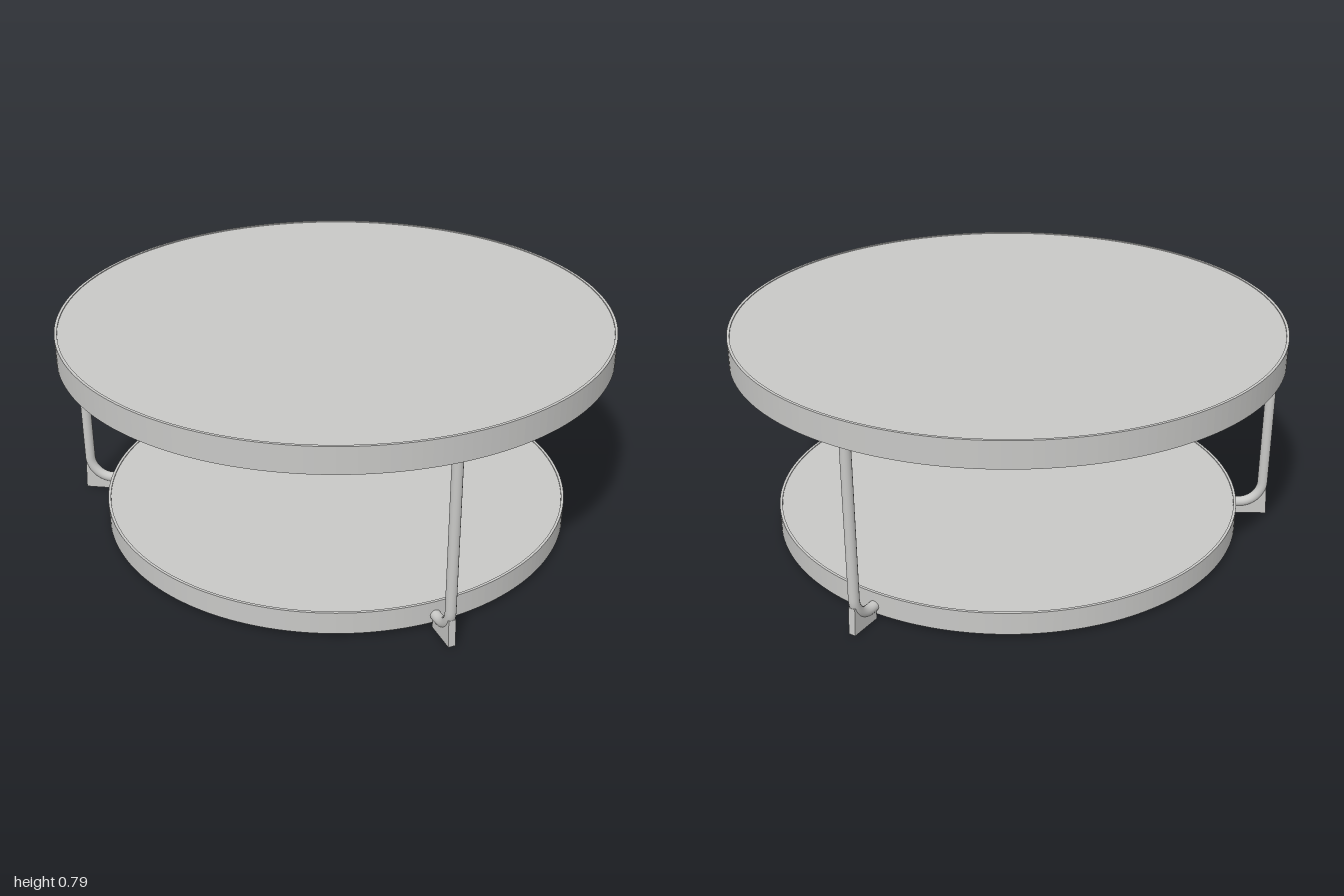
import * as THREE from 'three';

const metal = new THREE.MeshStandardMaterial({ color: 0xc8c8c6 });
metal.name = 'light grey';

function part(name, geometry, y = 0) {
  const mesh = new THREE.Mesh(geometry, metal);
  mesh.name = name;
  mesh.position.y = y;
  return mesh;
}

// Thin hoop with a flat panel set inside, open underneath
function tray(name, radius, bottom, top, panelBottom, insetRadius) {
  const group = new THREE.Group();
  group.name = name;
  const wall = 0.01, inner = radius - wall;

  const ring = new THREE.Shape().absarc(0, 0, radius, 0, Math.PI * 2, false);
  ring.holes.push(new THREE.Path().absarc(0, 0, inner, 0, Math.PI * 2, true));
  const hoop = new THREE.ExtrudeGeometry(ring, { depth: top - bottom, bevelEnabled: false, curveSegments: 96 });
  hoop.rotateX(-Math.PI / 2);
  group.add(part(name + 'Hoop', hoop, bottom));

  const panelTop = top - 0.003;
  group.add(part(name + 'Panel',
    new THREE.CylinderGeometry(inner, inner, panelTop - panelBottom, 96), (panelTop + panelBottom) / 2));
  group.add(part(name + 'Underside',
    new THREE.CylinderGeometry(insetRadius, insetRadius, 0.004, 96), panelBottom - 0.001));
  return group;
}

// Bent tube leg with a corner gusset, built pointing along +x
function leg(name) {
  const group = new THREE.Group();
  group.name = name;
  const r = 0.97, y = 0.044, bend = 0.085, k = bend * 0.4477;

  const path = new THREE.CurvePath();
  const topEnd = new THREE.Vector3(r, 0.762, 0);
  const bendTop = new THREE.Vector3(r, y + bend, 0);
  const bendEnd = new THREE.Vector3(r - bend, y, 0);
  path.add(new THREE.LineCurve3(topEnd, bendTop));
  path.add(new THREE.CubicBezierCurve3(bendTop, new THREE.Vector3(r, y + k, 0),
    new THREE.Vector3(r - bend + bend - k, y, 0), bendEnd));
  path.add(new THREE.LineCurve3(bendEnd, new THREE.Vector3(0.74, y, 0)));
  group.add(part('legTube', new THREE.TubeGeometry(path, 120, 0.019, 16, false)));

  // Rod end inside the shelf hoop
  const cap = new THREE.CircleGeometry(0.019, 16);
  cap.rotateY(-Math.PI / 2);
  cap.translate(0.74, y, 0);
  group.add(part('legEnd', cap));

  // Upright plate filling the outside of the bend down to the floor
  const plate = new THREE.Shape();
  plate.moveTo(0.87, 0);
  plate.lineTo(0.99, 0);
  plate.lineTo(0.985, 0.1);
  plate.lineTo(r, 0.1);
  plate.quadraticCurveTo(0.96, y + 0.005, 0.87, y - 0.005);
  const foot = new THREE.ExtrudeGeometry(plate, { depth: 0.026, bevelEnabled: false, curveSegments: 10 });
  foot.translate(0, 0, -0.013);
  group.add(part('foot', foot));
  return group;
}

export function createModel() {
  const table = new THREE.Group();
  table.name = 'roundTable';
  table.add(tray('tableTop', 1, 0.697, 0.793, 0.76, 0.95));
  table.add(tray('shelf', 0.865, 0.015, 0.097, 0.063, 0.767));

  // One leg at the back, two towards the front
  ['backLeg', 'frontRightLeg', 'frontLeftLeg'].forEach((name, i) => {
    const l = leg(name);
    l.rotation.y = Math.PI / 2 + i * Math.PI * 2 / 3;
    table.add(l);
  });
  return table;
}
